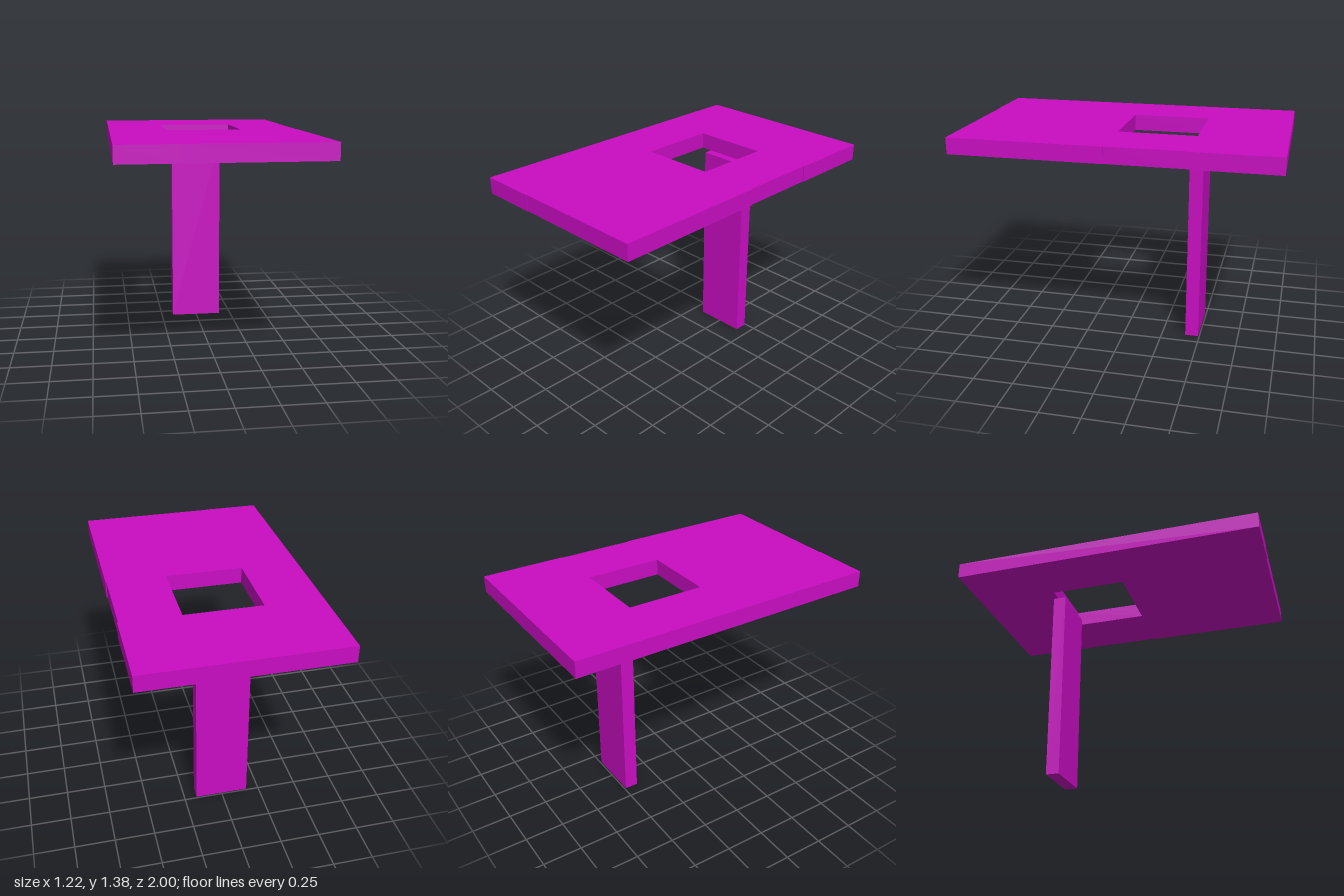
import * as THREE from 'three';

export function createModel() {
  const group = new THREE.Group();
  const magenta = new THREE.MeshStandardMaterial({ color: 0xc90dc2 });
  magenta.name = 'magenta';

  const toPoints = (list) => list.map(([x, z]) => new THREE.Vector2(x, -z));

  // Table top: slab with a square opening and a slight step in its right and front edges
  const outline = new THREE.Shape(toPoints([
    [-0.611, 1], [-0.245, 1], [-0.245, 0.996], [0.611, 0.996], [0.611, 0.032],
    [0.605, 0.032], [0.605, -0.46], [0.611, -0.46], [0.611, -1], [-0.611, -1],
  ]));
  outline.holes.push(new THREE.Path(toPoints([
    [-0.247, 0.032], [-0.247, -0.46], [0.238, -0.46], [0.238, 0.032],
  ])));
  const topGeometry = new THREE.ExtrudeGeometry(outline, { depth: 0.103, bevelEnabled: false });
  topGeometry.rotateX(-Math.PI / 2);
  const tableTop = new THREE.Mesh(topGeometry, magenta);
  tableTop.name = 'tableTop';
  tableTop.position.y = 1.278;
  group.add(tableTop);

  // Single flat leg under the back edge of the opening
  const leg = new THREE.Mesh(new THREE.BoxGeometry(0.34, 1.278, 0.086), magenta);
  leg.name = 'leg';
  leg.position.set(0, 0.639, -0.448);
  group.add(leg);

  return group;
}
